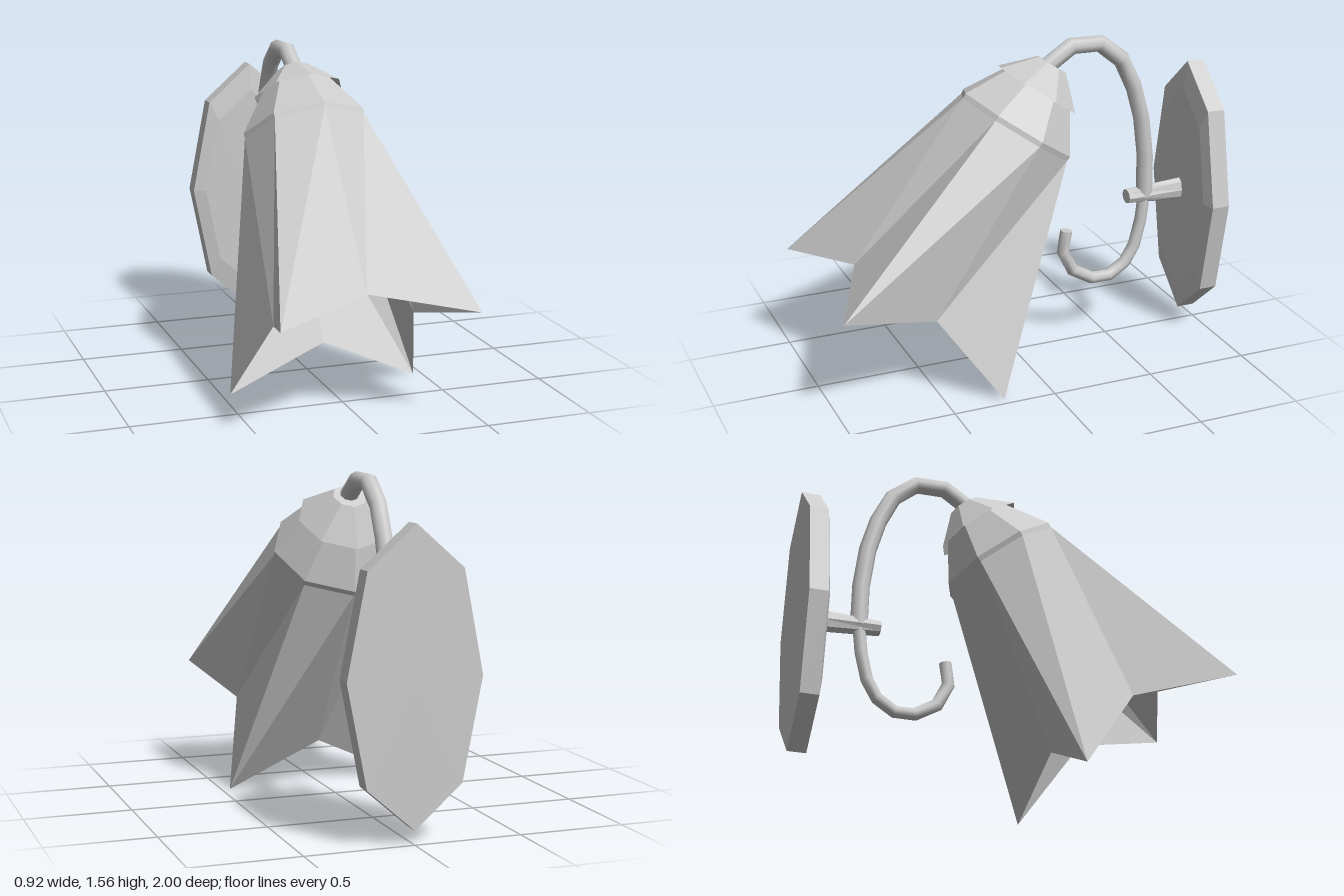
import * as THREE from 'three';

const flat = () => new THREE.MeshStandardMaterial({ color: 0xcccccc, flatShading: true, side: THREE.DoubleSide });
const smooth = () => new THREE.MeshStandardMaterial({ color: 0xcccccc, side: THREE.DoubleSide });

function part(name, geometry, material = flat()) {
  const mesh = new THREE.Mesh(geometry, material);
  mesh.name = name;
  return mesh;
}

// Capped tube in the x = 0 plane whose rings sit exactly on the [z, y] points
function bentTube(name, points, radius) {
  const curve = new THREE.CatmullRomCurve3(points.map(([z, y]) => new THREE.Vector3(0, y, z)));
  curve.getUtoTmapping = (u) => u;
  const group = new THREE.Group();
  group.name = name;
  group.add(part(name + 'Tube', new THREE.TubeGeometry(curve, points.length - 1, radius, 8), smooth()));
  for (const t of [0, 1]) {
    const cap = part(name + 'End', new THREE.CircleGeometry(radius, 8));
    const dir = curve.getTangent(t).multiplyScalar(t ? 1 : -1);
    cap.position.copy(curve.getPoint(t));
    cap.quaternion.setFromUnitVectors(new THREE.Vector3(0, 0, 1), dir);
    group.add(cap);
  }
  return group;
}

// Eight-sided ring section between two heights on the lamp axis
function frustum(rTop, rBottom, y0, y1, open) {
  return new THREE.CylinderGeometry(rTop, rBottom, y1 - y0, 8, 1, open).translate(0, (y0 + y1) / 2, 0);
}

// Flared shade: rim alternates long corner points and set-back notches
function shadeGeometry() {
  const length = 1.09;
  const g = frustum(0.305, 0.5, -length, 0, true);
  const p = g.attributes.position;
  for (let i = 0; i < p.count; i++) {
    if (p.getY(i) > -0.5) continue;
    const step = i % 9;
    const corner = step % 2 === 1;
    const r = corner ? 0.65 : 0.338;
    const a = step * Math.PI / 4;
    p.setXYZ(i, r * Math.sin(a), corner ? -length : -length + 0.17, r * Math.cos(a));
  }
  g.computeVertexNormals();
  return g;
}

export function createModel() {
  const model = new THREE.Group();
  model.name = 'wallLamp';

  // Elongated octagonal wall plate with a slightly raised face
  const profile = [[0, 0], [1, 0], [1, 0.088], [0.8, 0.106], [0, 0.108]];
  const plate = part('wallPlate', new THREE.LatheGeometry(profile.map(([x, y]) => new THREE.Vector2(x, y)), 8)
    .rotateX(Math.PI / 2).scale(0.31, 0.655, 1));
  plate.position.set(0, 0.715, -1);
  model.add(plate);

  // Stem: tall and narrow at the plate, rounder at the tip
  const stemGeo = new THREE.CylinderGeometry(0.036, 0.058, 0.32, 8).rotateX(Math.PI / 2);
  const sp = stemGeo.attributes.position;
  for (let i = 0; i < sp.count; i++) sp.setX(i, sp.getX(i) * (sp.getZ(i) > 0 ? 1.15 : 0.55));
  const stem = part('stem', stemGeo);
  stem.position.set(0, 0.715, -0.76);
  model.add(stem);

  // Arched arm and lower hook
  model.add(bentTube('arm', [[-0.15, 1.42], [-0.295, 1.515], [-0.44, 1.512], [-0.555, 1.42], [-0.625, 1.275],
    [-0.67, 1.115], [-0.695, 0.92], [-0.698, 0.71]], 0.042));
  model.add(bentTube('hook', [[-0.698, 0.72], [-0.682, 0.58], [-0.65, 0.45], [-0.6, 0.365], [-0.515, 0.31],
    [-0.42, 0.31], [-0.315, 0.37], [-0.262, 0.477], [-0.278, 0.585]], 0.031));

  // Tilted lamp head
  const head = new THREE.Group();
  head.name = 'lampHead';
  head.position.set(0, 1.155, 0);
  head.rotation.x = -0.603;
  head.add(
    part('shade', shadeGeometry()),
    part('shadeBand', frustum(0.307, 0.305, 0, 0.025, true)),
    part('shadeHolder', frustum(0.168, 0.307, 0.025, 0.243, true)),
    part('cap', frustum(0.08, 0.22, 0.207, 0.342, true)),
  );
  const capTop = part('capTop', new THREE.CylinderGeometry(0.08, 0.08, 0.004, 8));
  capTop.position.y = 0.34;
  head.add(capTop);
  model.add(head);

  return model;
}
